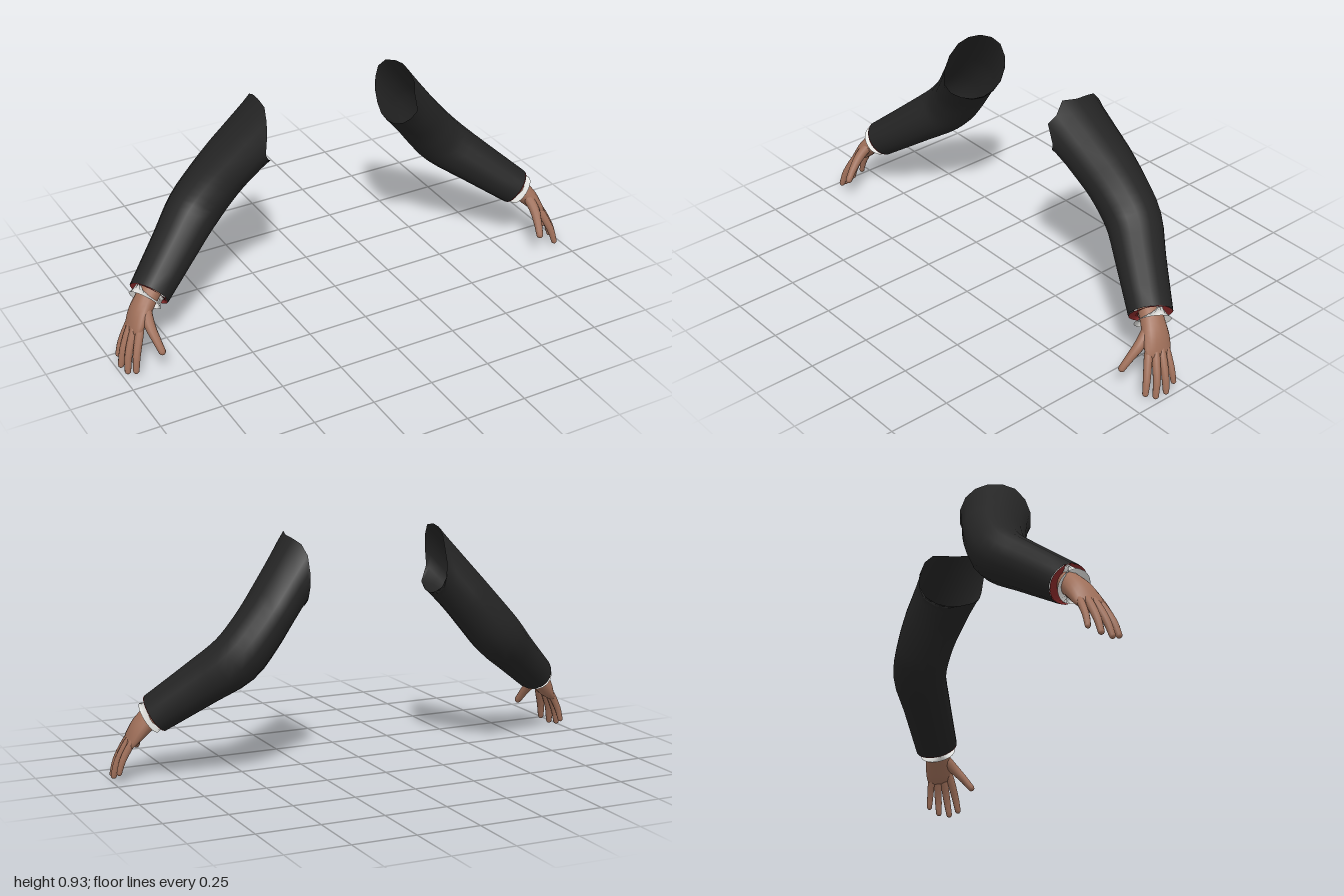
import * as THREE from 'three';

const V = (x, y, z) => new THREE.Vector3(x, y, z);
const mat = (name, color, side = THREE.FrontSide) => {
  const m = new THREE.MeshStandardMaterial({ color, side });
  m.name = name;
  return m;
};

// Skin an elliptical tube along stations [x, y, z, radius up, radius sideways].
// rim: optional x positions at which the first ring is cut, one per segment.
function loft(stations, up, segs, steps, { rim, cap } = {}) {
  const path = new THREE.CatmullRomCurve3(stations.map(s => V(s[0], s[1], s[2])), false, 'catmullrom');
  const size = new THREE.CatmullRomCurve3(stations.map(s => V(s[3], s[4], 0)), false, 'catmullrom');
  const rows = (stations.length - 1) * steps;
  const pos = [], index = [];
  let rings = 0;

  const addRing = (c, t, ru, rv, cut = 0) => {
    const u = up.clone().addScaledVector(t, -up.dot(t)).normalize();
    const v = t.clone().cross(u);
    for (let j = 0; j < segs; j++) {
      const a = j / segs * Math.PI * 2;
      const p = c.clone().addScaledVector(u, Math.cos(a) * ru).addScaledVector(v, Math.sin(a) * rv);
      if (cut > 0) p.addScaledVector(t, cut * (rim[j] - p.x) / t.x);
      pos.push(p.x, p.y, p.z);
    }
    rings++;
  };

  for (let i = 0; i <= rows; i++) {
    const c = path.getPoint(i / rows), r = size.getPoint(i / rows);
    const t = path.getTangent(i / rows);
    addRing(c, t, r.x, r.y, rim ? 1 - i / steps : 0);
    // Rounded tip
    if (cap && i === rows) {
      for (const [d, k] of [[0.5, 0.75], [0.8, 0.35], [0.85, 0.001]]) {
        addRing(c.clone().addScaledVector(t, r.x * d), t, r.x * k, r.y * k);
      }
    }
  }
  for (let i = 0; i < rings - 1; i++) {
    for (let j = 0; j < segs; j++) {
      const a = i * segs + j, b = i * segs + (j + 1) % segs;
      index.push(a, b, a + segs, b, b + segs, a + segs);
    }
  }
  const g = new THREE.BufferGeometry();
  g.setAttribute('position', new THREE.Float32BufferAttribute(pos, 3));
  g.setIndex(index);
  return g;
}

// Mirror a geometry in x, keeping its faces outward
function mirror(g) {
  g.scale(-1, 1, 1);
  const ix = g.index.array;
  for (let i = 0; i < ix.length; i += 3) [ix[i], ix[i + 1]] = [ix[i + 1], ix[i]];
}

// Torn shoulder edge, from the top round by the front, underside and back
const rims = {
  left: [0.32, 0.305, 0.315, 0.3, 0.32, 0.3, 0.285, 0.275, 0.28, 0.285, 0.29, 0.29, 0.29, 0.29, 0.3, 0.315],
  right: [0.315, 0.315, 0.325, 0.335, 0.34, 0.32, 0.295, 0.285, 0.285, 0.285, 0.29, 0.29, 0.29, 0.29, 0.3, 0.31],
};

// Each finger: base, knuckle, middle joint, tip
const fingers = {
  indexFinger: [[0.9, 0.185, 0.118], [0.917, 0.15, 0.135], [0.943, 0.085, 0.163], [0.955, 0.03, 0.179]],
  middleFinger: [[0.908, 0.185, 0.095], [0.93, 0.15, 0.108], [0.962, 0.08, 0.13], [0.976, 0.015, 0.146]],
  ringFinger: [[0.908, 0.185, 0.07], [0.935, 0.15, 0.08], [0.969, 0.08, 0.094], [0.985, 0.02, 0.102]],
  littleFinger: [[0.905, 0.185, 0.045], [0.93, 0.15, 0.051], [0.962, 0.09, 0.056], [0.977, 0.04, 0.057]],
};

export function createModel() {
  const cloth = mat('blackCloth', 0x242424, THREE.DoubleSide);
  const linen = mat('whiteLinen', 0xe6e6e3, THREE.DoubleSide);
  const lining = mat('redLining', 0x8a2a2a, THREE.DoubleSide);
  const skin = mat('skin', 0xa0705a);

  const armUp = V(0.74, 0.67, 0).normalize();
  const handUp = V(0.85, 0.5, 0).normalize();
  const model = new THREE.Group();
  model.name = 'pairOfArms';

  for (const side of ['left', 'right']) {
    const arm = new THREE.Group();
    arm.name = side + 'Arm';
    model.add(arm);
    const add = (name, g, material) => {
      if (side === 'right') mirror(g);
      g.computeVertexNormals();
      const mesh = new THREE.Mesh(g, material);
      mesh.name = name;
      arm.add(mesh);
    };

    // Jacket sleeve, shoulder to wrist
    add('sleeve', loft([
      [0.31, 0.78, -0.055, 0.1, 0.14],
      [0.41, 0.66, -0.093, 0.097, 0.125],
      [0.485, 0.568, -0.111, 0.1, 0.117],
      [0.565, 0.478, -0.108, 0.102, 0.113],
      [0.67, 0.392, -0.048, 0.091, 0.101],
      [0.83, 0.265, 0.045, 0.076, 0.089],
    ], armUp, 16, 3, { rim: rims[side] }), cloth);

    // Thin lining at the sleeve end
    add('sleeveLining', loft([
      [0.8, 0.289, 0.028, 0.074, 0.087],
      [0.832, 0.2634, 0.0462, 0.0745, 0.0875],
    ], armUp, 24, 1), lining);

    // Shirt cuff
    add('shirtCuff', loft([
      [0.8, 0.289, 0.028, 0.068, 0.078],
      [0.854, 0.246, 0.057, 0.064, 0.074],
    ], armUp, 24, 1), linen);

    // Wrist and palm
    add('palm', loft([
      [0.81, 0.285, 0.035, 0.042, 0.048],
      [0.85, 0.25, 0.055, 0.041, 0.049],
      [0.885, 0.21, 0.07, 0.036, 0.057],
      [0.912, 0.17, 0.084, 0.025, 0.059],
      [0.926, 0.15, 0.091, 0.016, 0.054],
    ], handUp, 16, 3, { cap: true }), skin);

    // Fingers
    for (const [name, points] of Object.entries(fingers)) {
      const radii = [0.014, 0.0165, 0.015, 0.012];
      const k = name === 'littleFinger' ? 0.88 : 1;
      add(name, loft(points.map((p, i) => [...p, radii[i] * k, radii[i] * k]), handUp, 10, 3, { cap: true }), skin);
    }

    // Thumb
    add('thumb', loft([
      [0.865, 0.235, 0.085, 0.022, 0.024],
      [0.873, 0.19, 0.135, 0.021, 0.022],
      [0.866, 0.145, 0.178, 0.017, 0.017],
      [0.857, 0.104, 0.21, 0.014, 0.014],
    ], handUp, 10, 3, { cap: true }), skin);
  }
  return model;
}
